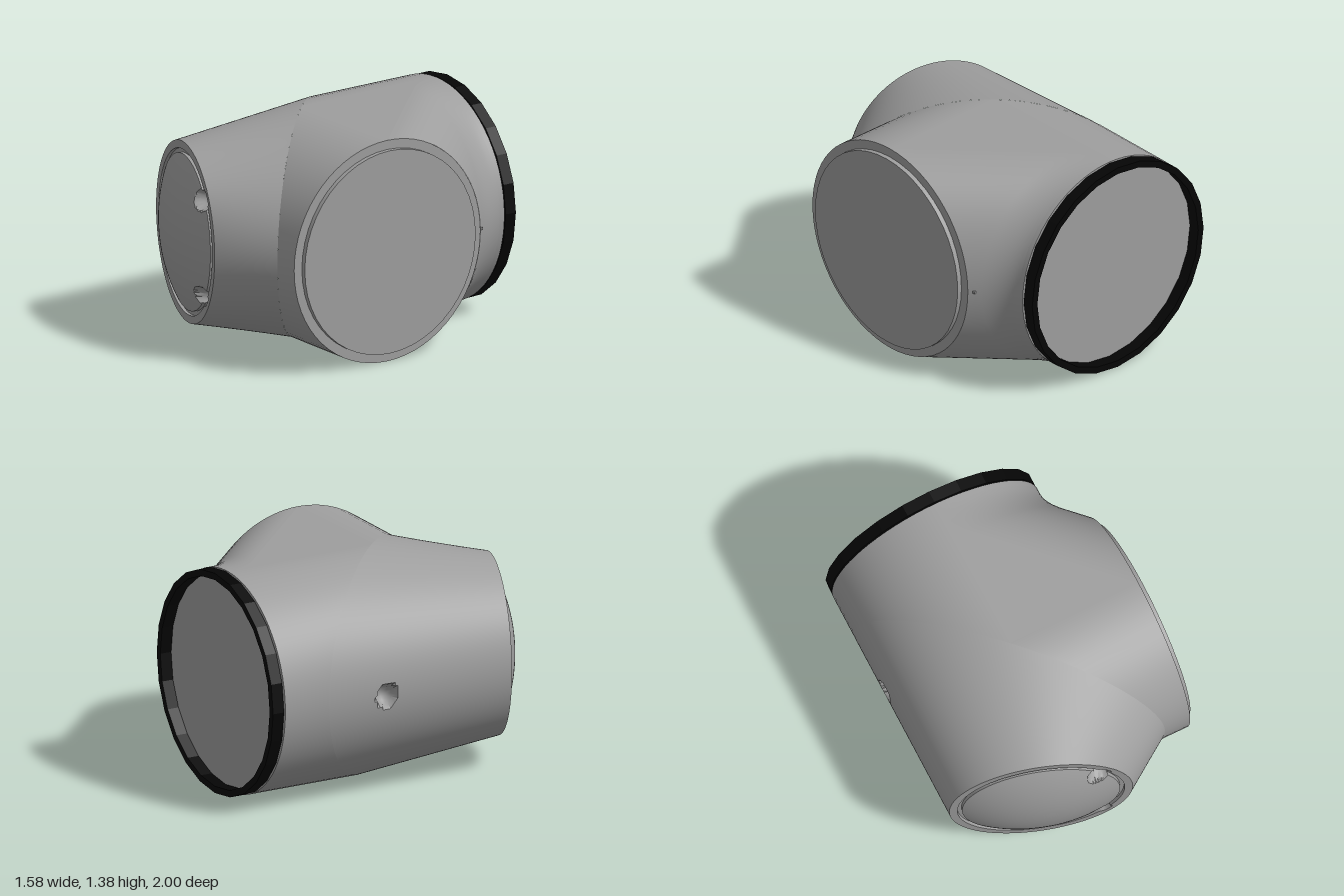
import * as THREE from 'three';
import { toCreasedNormals } from 'three/addons/utils/BufferGeometryUtils.js';

const R = 0.692;                                   // barrel radius
const C = new THREE.Vector3(-0.1, R, 0.08);        // point where both barrel axes meet
const BACK = -0.915, SIDE = 0.76;                  // ends of the two barrels
const V = (x, y, z) => new THREE.Vector3(x, y, z);

// Surface from a rule: point(t, s) with t along and s around, both 0..1
function surface(rows, cols, closed, point) {
  const pos = [], index = [], n = closed ? cols : cols + 1;
  for (let i = 0; i <= rows; i++)
    for (let j = 0; j < n; j++) pos.push(...point(i / rows, j / cols).toArray());
  for (let i = 0; i < rows; i++)
    for (let j = 0; j < cols; j++) {
      const a = i * n + j, b = i * n + (j + 1) % n;
      index.push(a, b, a + n, b, b + n, a + n);
    }
  const g = new THREE.BufferGeometry();
  g.setAttribute('position', new THREE.Float32BufferAttribute(pos, 3));
  g.setIndex(index);
  return toCreasedNormals(g, 0.6);
}

// Depth of a round-bottomed hole at q, the distance from its centre over its radius
const holeDepth = q => (q < 1 ? 0.09 * Math.sqrt(1 - q * q) : 0);

export function createModel() {
  const model = new THREE.Group();
  const grey = new THREE.MeshStandardMaterial({ color: 0x9e9e9e });
  const greyDouble = new THREE.MeshStandardMaterial({ color: 0x9e9e9e, side: THREE.DoubleSide });
  const black = new THREE.MeshStandardMaterial({ color: 0x050505, flatShading: true });
  const add = (name, geometry, material = grey) => {
    const mesh = new THREE.Mesh(geometry, material);
    mesh.name = name;
    model.add(mesh);
    return mesh;
  };

  // Cross-sections by angle
  const seam = a => V(C.x + R * Math.cos(a), C.y + R * Math.sin(a), C.z + R * Math.cos(a));
  const backEnd = a => V(C.x + R * Math.cos(a), C.y + R * Math.sin(a), BACK);
  const sideEnd = a => V(SIDE, C.y + R * Math.sin(a), C.z + R * Math.cos(a));
  const capCentre = V(-0.265, R, 0.825), U = V(0.951, 0, 0.309), N = V(-0.309, 0, 0.951);
  const capPoint = (r, a, h) => capCentre.clone()
    .addScaledVector(U, r * Math.cos(a)).addScaledVector(N, h)
    .add(V(0, r * Math.sin(a), 0));
  const loft = (from, to) => (t, s) => from(s * Math.PI * 2).lerp(to(s * Math.PI * 2), t);

  // Two barrels meeting on the diagonal seam
  add('backBarrel', surface(1, 64, true, loft(backEnd, seam)));
  add('sideBarrel', surface(1, 64, true, loft(sideEnd, seam)));

  // Web across the inner corner: a short fillet, then straight at 45 degrees to the side rim
  const bend = C.z - (SIDE - C.x);
  const web = (t, s) => {
    const a = (s - 0.5) * Math.PI, c = R * Math.cos(a), x = C.x + c, y = C.y + R * Math.sin(a);
    if (t === 1) return V(SIDE, y, C.z - c);
    return new THREE.QuadraticBezierCurve3(
      V(x, y, bend - 0.1), V(x, y, bend), V(x + 0.11, y, bend + 0.11)).getPoint(t / 0.9);
  };
  add('cornerWeb', surface(10, 48, false, web));
  for (const [name, s] of [['webBottom', 0], ['webTop', 1]])
    add(name, surface(10, 1, false, (t, k) => V(C.x, s * 2 * R, C.z).lerp(web(t, s), k)), greyDouble);

  // Tapered head from the seam to the cap, with a round port in its side
  const head = loft(seam, a => capPoint(0.555, a, 0));
  add('head', surface(72, 200, true, (t, s) => {
    const p = head(t, s);
    if (p.x < -0.5) p.x += holeDepth(Math.hypot(p.y - 0.675, p.z + 0.21) / 0.07);
    return p;
  }));

  // Cap: flat rim, shallow groove, domed plate with two sockets
  const domeR = 1.06;
  const radii = [0.555, 0.545, 0.535, 0.525, 0.515, 0.506, 0.505, 0.492, 0.479, 0.478];
  for (let i = 1; i <= 50; i++) radii.push(0.478 * (1 - i / 50));
  const capHeight = r => {
    if (r > 0.5055) return 0;
    if (r > 0.4785) return -0.02;
    return Math.sqrt(domeR * domeR - r * r) - (domeR - 0.115);
  };
  add('domedCap', surface(radii.length - 1, 180, true, (t, s) => {
    const r = radii[Math.round(t * (radii.length - 1))];
    const p = capPoint(r, s * Math.PI * 2, capHeight(r));
    const [x, y] = [p.x, p.y - R];
    for (const side of [1, -1])
      p.addScaledVector(N, -holeDepth(Math.hypot((x - 0.062) / 0.07, (y - side * 0.3) / 0.056)));
    return p;
  }));

  // End faces
  const backFace = add('backFace', new THREE.CircleGeometry(R, 64));
  backFace.rotation.y = Math.PI;
  backFace.position.set(C.x, C.y, BACK);
  const sideFace = add('sideRim', new THREE.CircleGeometry(R, 64));
  sideFace.rotation.y = Math.PI / 2;
  sideFace.position.set(SIDE, C.y, C.z);
  const disc = add('sideDisc', new THREE.CylinderGeometry(0.635, 0.635, 0.06, 48));
  disc.rotation.z = Math.PI / 2;
  disc.position.set(SIDE, C.y, C.z);

  // Small locating tab beside the side rim
  add('tab', new THREE.BoxGeometry(0.05, 0.015, 0.035)).position.set(0.715, C.y, -0.63);

  // Black gasket standing just off the back face
  const profile = [[0.65, 0], [R, 0], [R, 0.075], [0.65, 0.075], [0.65, 0]]
    .map(([x, y]) => new THREE.Vector2(x, y));
  const gasket = add('gasketRing', new THREE.LatheGeometry(profile, 24), black);
  gasket.rotation.x = Math.PI / 2;
  gasket.position.set(C.x, C.y, -1);

  return model;
}
